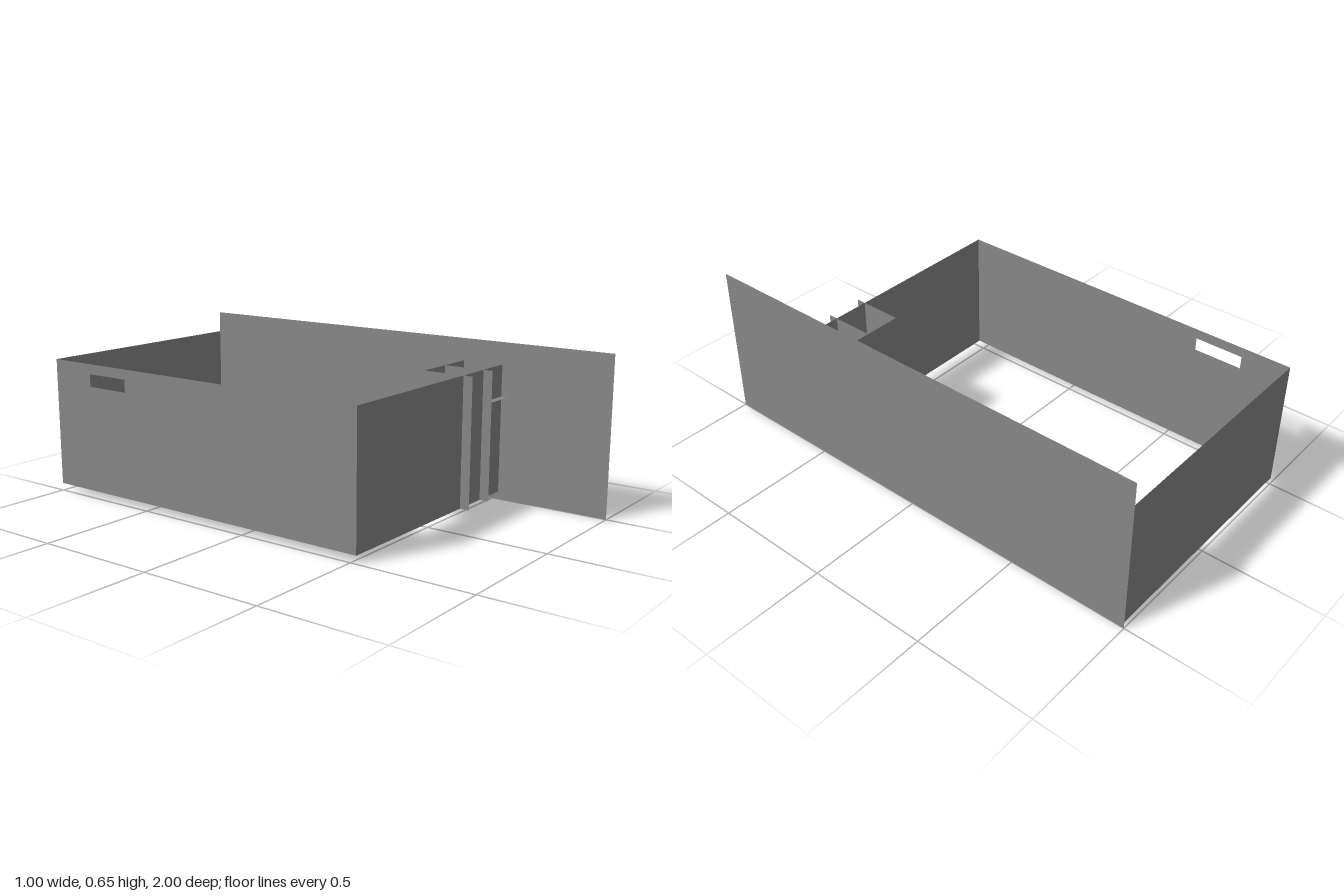
import * as THREE from 'three';

const material = new THREE.MeshStandardMaterial({
  color: 0x878787, flatShading: true, side: THREE.DoubleSide,
});

export function createModel() {
  const drawer = new THREE.Group();
  drawer.name = 'drawer';

  const add = (name, geometry) => {
    const mesh = new THREE.Mesh(geometry, material);
    mesh.name = name;
    drawer.add(mesh);
  };

  // Thin upright sheet facing z
  const sheetZ = (name, z, x0, x1, y0, y1) => add(name,
    new THREE.PlaneGeometry(x1 - x0, y1 - y0)
      .translate((x0 + x1) / 2, (y0 + y1) / 2, z));

  // Thin upright sheet facing x
  const sheetX = (name, x, z0, z1, y0, y1) => add(name,
    new THREE.PlaneGeometry(z1 - z0, y1 - y0).rotateY(Math.PI / 2)
      .translate(x, (y0 + y1) / 2, (z0 + z1) / 2));

  const bottom = 0.031, top = 0.561, frontZ = 0.525;

  // Tall facing panel and the two cross walls
  sheetX('facePanel', 0.5, -1, 1, 0, 0.652);
  sheetZ('backWall', -1, -0.5, 0.5, bottom, top);
  sheetZ('frontWall', frontZ, -0.5, 0.5, bottom, top);

  // Long wall with a rectangular grip slot
  const rect = (Type, z0, z1, y0, y1) => new Type([
    new THREE.Vector2(-z0, y0), new THREE.Vector2(-z1, y0),
    new THREE.Vector2(-z1, y1), new THREE.Vector2(-z0, y1),
  ]);
  const wall = rect(THREE.Shape, -1, frontZ, bottom, top);
  wall.holes.push(rect(THREE.Path, -0.8, -0.6, 0.468, 0.52));
  add('slottedWall', new THREE.ShapeGeometry(wall)
    .rotateY(Math.PI / 2).translate(-0.5, 0, 0));

  // Corner compartments: dividers, column face, apron and shelf
  const inner = 0.195, middle = 0.348, outer = 0.496;
  for (const x of [inner, middle]) sheetX('divider', x, 0.35, 0.565, bottom, top);
  sheetZ('columnFace', 0.35, inner, middle, bottom, top);
  sheetZ('apron', 0.35, middle, outer, 0.43, top);
  add('shelf', new THREE.PlaneGeometry(outer - middle, 0.205).rotateX(-Math.PI / 2)
    .translate((middle + outer) / 2, 0.43, 0.4525));

  return drawer;
}
